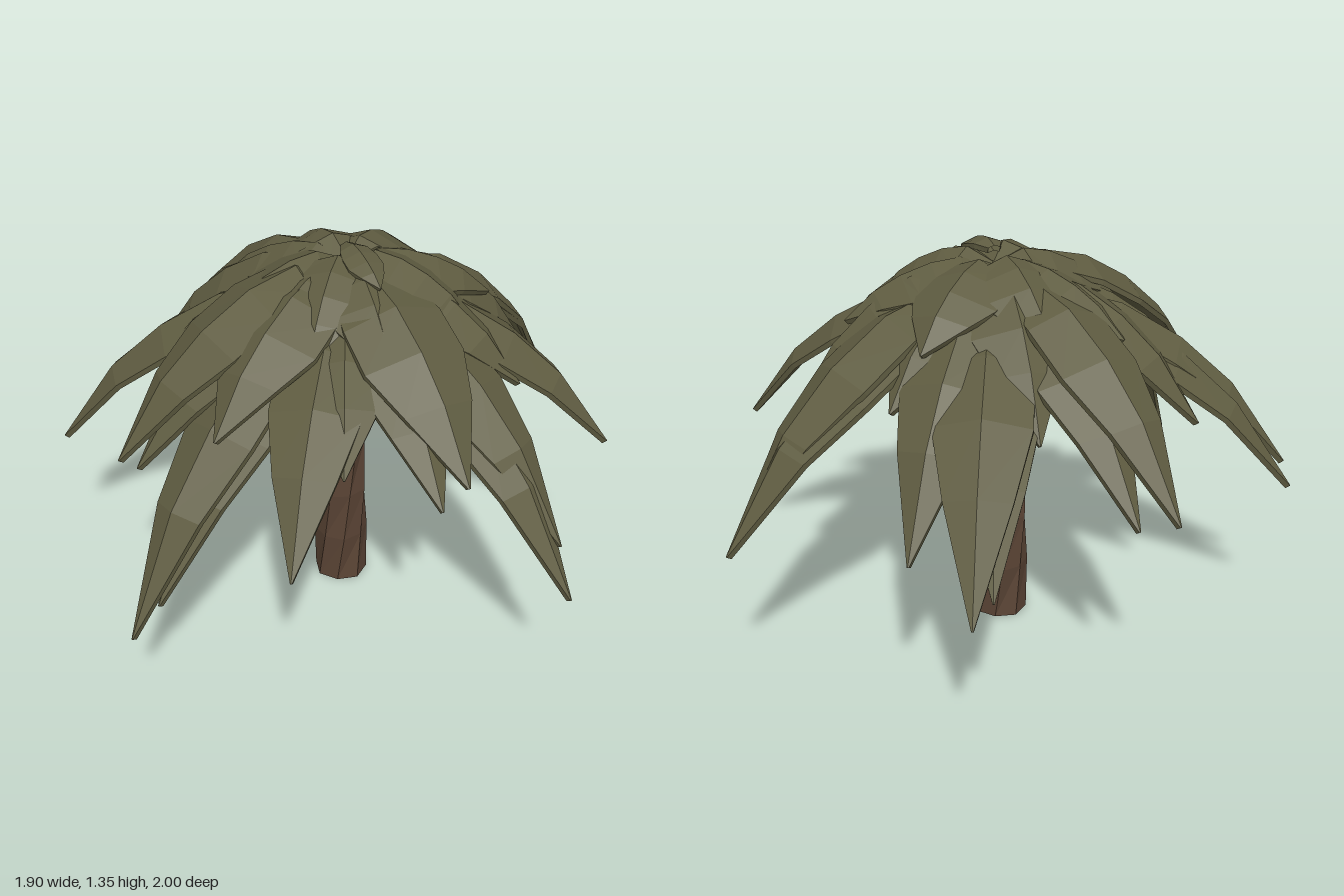
import * as THREE from 'three';

const leafMat = new THREE.MeshStandardMaterial({ color: 0x5f5c41, flatShading: true, side: THREE.DoubleSide });
const barkMat = new THREE.MeshStandardMaterial({ color: 0x594334, flatShading: true, side: THREE.DoubleSide });
const CROWN = [-0.04, 0];
const THICK = 0.018;

// Steps along a frond: share of its reach, share of its drop, half width
const STEPS = [
  [0, 0.2, 0.05], [0.22, 0, 0.12], [0.42, 0.08, 0.145],
  [0.62, 0.27, 0.148], [0.8, 0.53, 0.1], [1, 1, 0.003],
];

// Arched, ridged blade of even thickness from the crown to a pointed tip
function frondGeometry(tipX, tipY, tipZ, peak, width) {
  const [cx, cz] = CROWN;
  const path = STEPS.map(([t, d]) => new THREE.Vector3(
    cx + (tipX - cx) * t, peak - (peak - tipY) * d, cz + (tipZ - cz) * t));
  const side = new THREE.Vector3(-(tipZ - cz), 0, tipX - cx).normalize();
  const rings = path.map((p, i) => {
    const tangent = path[Math.min(i + 1, path.length - 1)].clone()
      .sub(path[Math.max(i - 1, 0)]).normalize();
    const up = side.clone().cross(tangent).normalize();
    const w = STEPS[i][2] * width, droop = -w * 0.36;
    const at = (s, u) => p.clone().addScaledVector(side, s).addScaledVector(up, u);
    return [at(0, 0), at(w, droop), at(w, droop - THICK),
      at(0, -THICK), at(-w, droop - THICK), at(-w, droop)];
  });
  const points = [];
  for (let i = 0; i < rings.length - 1; i++) {
    for (let k = 0; k < 6; k++) {
      const n = (k + 1) % 6;
      const a = rings[i][k], b = rings[i][n], c = rings[i + 1][n], d = rings[i + 1][k];
      points.push(a, b, c, a, c, d);
    }
  }
  const geometry = new THREE.BufferGeometry().setFromPoints(points);
  geometry.computeVertexNormals();
  return geometry;
}

// Eight-sided open trunk, twisted and tapered, with slightly uneven bark plates
function makeTrunk() {
  const geometry = new THREE.CylinderGeometry(0.082, 0.098, 0.95, 8, 5, true);
  geometry.translate(0, 0.475, 0);
  const p = geometry.attributes.position;
  for (let i = 0; i < p.count; i++) {
    const y = p.getY(i), x = p.getX(i), z = p.getZ(i);
    const ring = Math.round(y / 0.19);
    const angle = Math.atan2(x, z);
    const r = Math.hypot(x, z) * (1 + 0.025 * Math.cos(4 * angle + ring * Math.PI));
    const twisted = angle + y * 1.4;
    p.setXYZ(i, r * Math.sin(twisted), y, r * Math.cos(twisted));
  }
  geometry.computeVertexNormals();
  const trunk = new THREE.Mesh(geometry, barkMat);
  trunk.name = 'trunk';
  trunk.position.set(-0.06, 0, 0.015);
  return trunk;
}

export function createModel() {
  const model = new THREE.Group();
  model.name = 'palmTree';
  model.add(makeTrunk());

  // Leafy bulb where the fronds meet the trunk
  const profile = [[0.08, 0.87], [0.11, 0.92], [0.115, 0.98], [0.08, 1.05], [0, 1.08]];
  const bulb = new THREE.Mesh(
    new THREE.LatheGeometry(profile.map(([r, y]) => new THREE.Vector2(r, y)), 8), leafMat);
  bulb.name = 'crownBulb';
  bulb.position.set(-0.05, 0, 0.01);
  model.add(bulb);

  const addFronds = (name, list) => {
    const group = new THREE.Group();
    group.name = name;
    list.forEach((f) => {
      const mesh = new THREE.Mesh(frondGeometry(...f), leafMat);
      mesh.name = 'frond';
      group.add(mesh);
    });
    model.add(group);
  };

  // Each frond: tip x, y, z, height of the arch, width factor
  addFronds('lowerFronds', [
    [-0.07, 0.53, -1.0, 1.18, 1], [-0.05, 0.55, -0.97, 1.23, 0.95],
    [0.19, 0.38, 1.0, 1.16, 0.9], [0.17, 0.44, 0.89, 1.1, 0.9],
    [0.95, 0.47, -0.11, 1.16, 0.9], [0.86, 0.61, -0.14, 1.2, 0.95],
    [-0.83, 0.54, -0.61, 1.17, 1], [-0.8, 0.58, -0.52, 1.13, 0.9],
    [-0.73, 0.56, 0.73, 1.17, 0.95], [-0.64, 0.6, 0.79, 1.2, 0.95],
    [0.62, 0.68, -0.6, 1.2, 0.95], [0.58, 0.7, 0.67, 1.2, 0.95],
    [-0.56, 0.62, -0.65, 1.22, 1],
  ]);
  addFronds('middleFronds', [
    [-0.95, 0.72, 0.02, 1.27, 0.95], [-0.88, 0.7, -0.07, 1.21, 0.9],
    [-0.12, 0.8, 0.83, 1.3, 1], [-0.1, 0.76, 0.78, 1.22, 0.9],
    [0.72, 0.87, 0.13, 1.29, 1.15], [0.71, 0.82, 0.22, 1.22, 0.9],
    [0.18, 0.84, -0.63, 1.29, 1], [-0.65, 0.85, 0.36, 1.28, 1],
    [-0.6, 0.9, -0.22, 1.29, 1], [0.17, 0.95, 0.65, 1.29, 1.1],
    [0.5, 0.9, 0.42, 1.24, 1], [0.48, 0.95, -0.3, 1.28, 1],
    [-0.35, 0.95, 0.55, 1.25, 1], [-0.25, 0.95, -0.52, 1.26, 1],
  ]);
  // Short, flatter fronds closing the top in a spiral
  const inner = [];
  for (let i = 0; i < 9; i++) {
    const a = i * 2.4 + 0.3, r = 0.5 - i * 0.01;
    inner.push([CROWN[0] + r * Math.sin(a), 1.11, r * Math.cos(a), 1.3 + i * 0.004, 1]);
  }
  inner.push([0.2, 1.28, 0.05, 1.35, 0.4]);
  addFronds('topFronds', inner);
  return model;
}
